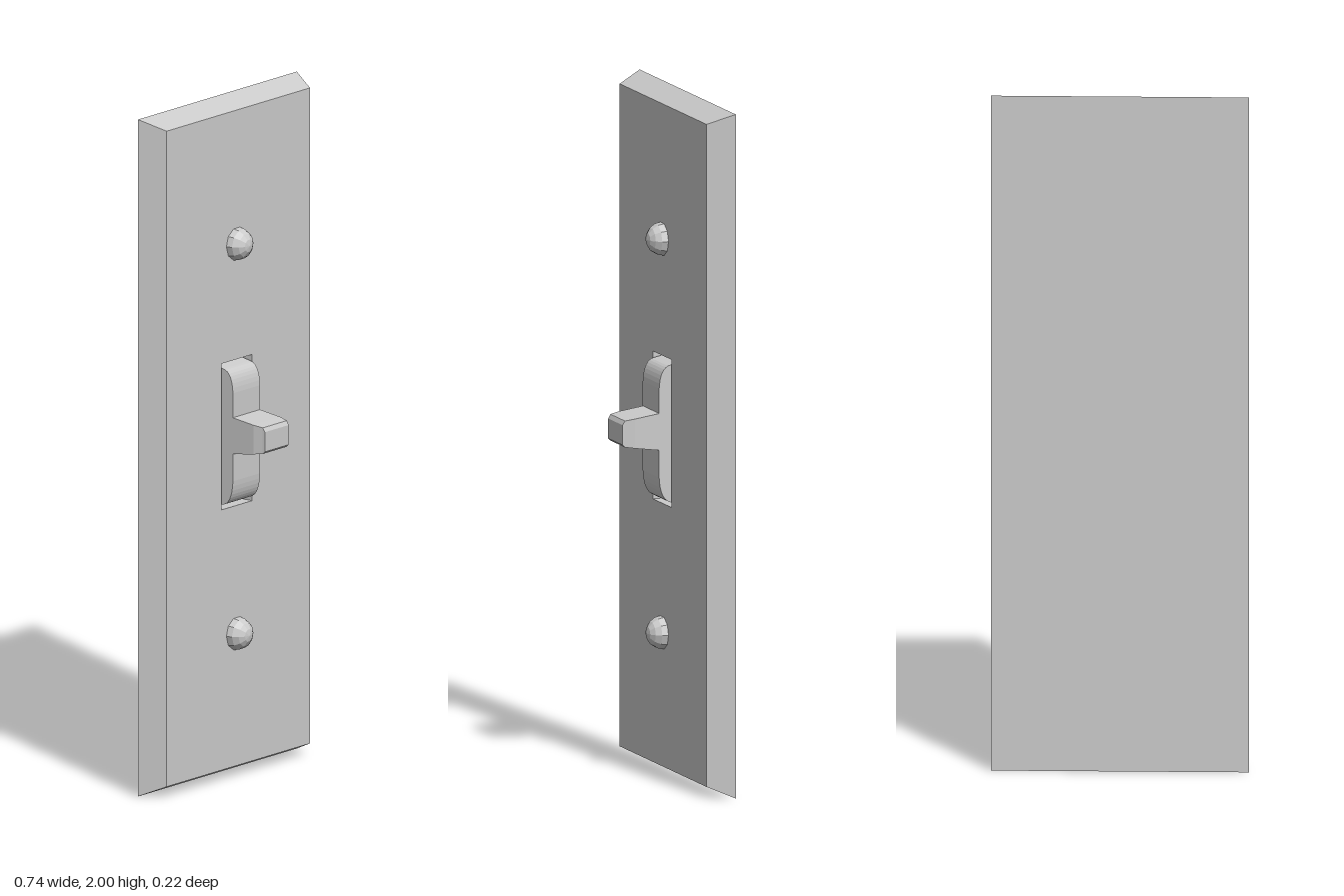
import * as THREE from 'three';

const material = new THREE.MeshStandardMaterial({ color: 0xcccccc, flatShading: true });

// Skin rectangular sections [x0, x1, y0, y1, z], capped at both ends
function loft(sections) {
  const loops = sections.map(([x0, x1, y0, y1, z]) =>
    [[x0, y0, z], [x1, y0, z], [x1, y1, z], [x0, y1, z]]);
  const pos = [];
  const quad = (a, b, c, d) => pos.push(...a, ...b, ...c, ...a, ...c, ...d);
  for (let s = 0; s < loops.length - 1; s++) {
    for (let i = 0; i < 4; i++) {
      const j = (i + 1) % 4;
      quad(loops[s][i], loops[s][j], loops[s + 1][j], loops[s + 1][i]);
    }
  }
  const first = loops[0];
  quad(first[3], first[2], first[1], first[0]);
  quad(...loops[loops.length - 1]);
  const g = new THREE.BufferGeometry();
  g.setAttribute('position', new THREE.Float32BufferAttribute(pos, 3));
  g.computeVertexNormals();
  return g;
}

export function createModel() {
  const group = new THREE.Group();
  const add = (name, geometry) => {
    const mesh = new THREE.Mesh(geometry, material);
    mesh.name = name;
    group.add(mesh);
    return mesh;
  };

  // Bevelled plate with a shallow slot for the switch
  add('wallPlate', loft([
    [-0.371, 0.371, 0, 2, -0.111],
    [-0.335, 0.335, 0.033, 1.97, -0.035],
    [-0.079, 0.065, 0.802, 1.234, -0.035],
    [-0.079, 0.065, 0.802, 1.234, -0.085],
  ]));

  // Rocker body: rounded side profile (z, y) extruded across x
  const profile = new THREE.Shape();
  profile.moveTo(-0.085, 0.808);
  profile.lineTo(-0.035, 0.816);
  profile.quadraticCurveTo(-0.003, 0.825, 0, 0.89);
  profile.lineTo(0, 1.15);
  profile.quadraticCurveTo(-0.003, 1.212, -0.035, 1.217);
  profile.lineTo(-0.085, 1.228);
  profile.closePath();
  const body = new THREE.ExtrudeGeometry(profile, { depth: 0.127, bevelEnabled: false, curveSegments: 8 });
  body.rotateY(-Math.PI / 2).translate(0.057, 0, 0);
  add('switchBody', body);

  // Toggle lever, tapering to a blunt tip
  add('switchLever', loft([
    [-0.07, 0.057, 0.969, 1.08, -0.01],
    [-0.07, 0.057, 0.971, 1.077, 0.005],
    [-0.07, 0.057, 0.981, 1.067, 0.075],
    [-0.063, 0.05, 0.985, 1.062, 0.103],
    [-0.062, 0.049, 0.992, 1.05, 0.11],
  ]));

  // Domed screw heads
  for (const [name, y] of [['upperScrew', 1.575], ['lowerScrew', 0.424]]) {
    const dome = new THREE.SphereGeometry(0.049, 10, 4, 0, Math.PI * 2, 0, Math.PI / 2);
    dome.rotateX(Math.PI / 2);
    add(name, dome).position.set(-0.007, y, -0.036);
  }
  return group;
}
